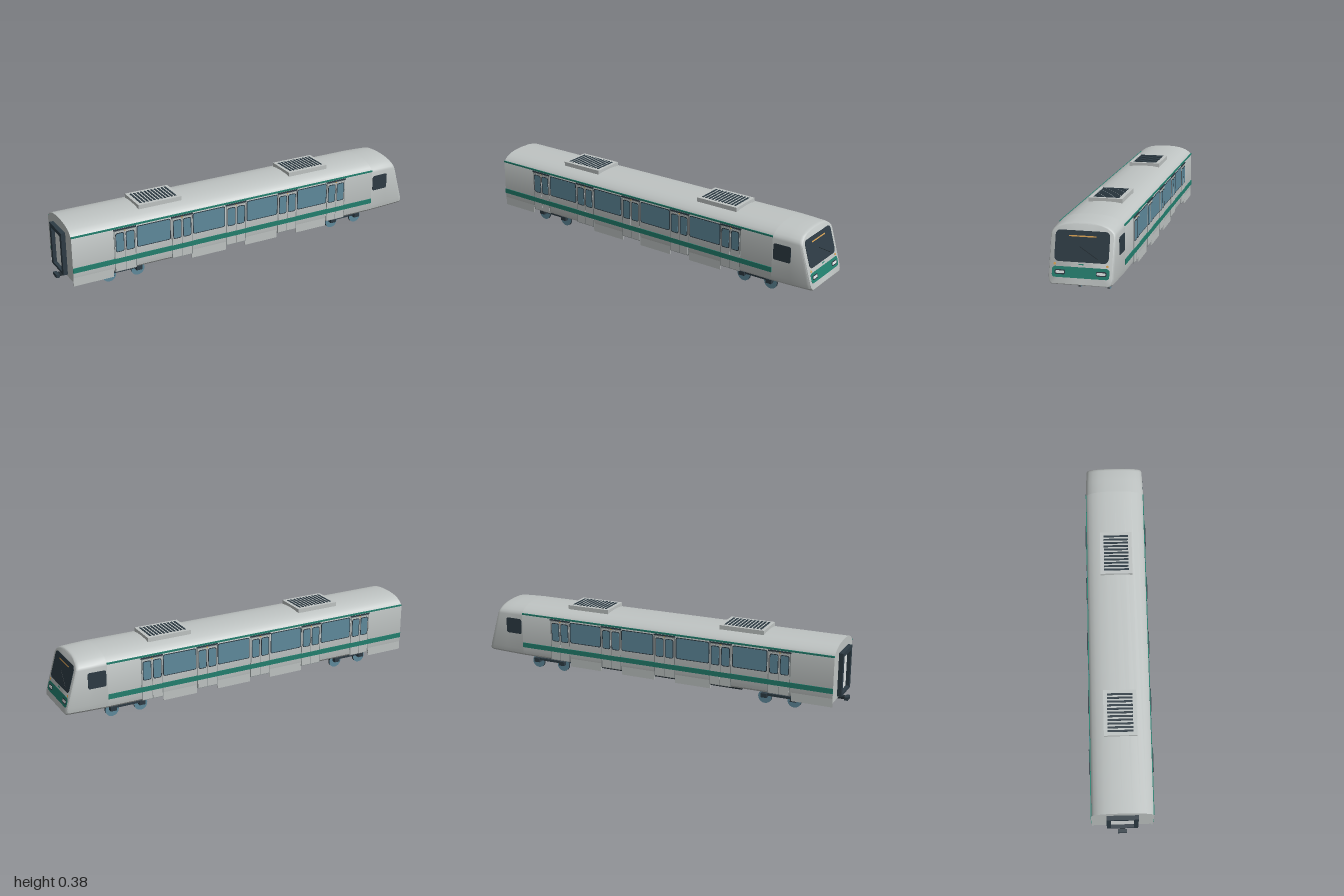
import * as THREE from 'three';
import { toCreasedNormals } from 'three/addons/utils/BufferGeometryUtils.js';

const mat = (name, color) => Object.assign(new THREE.MeshStandardMaterial({ color }), { name });
const silver = mat('silver', 0xbfc4c3);
const pale = mat('pale', 0xdde2e1);
const grey = mat('seal grey', 0x8a9292);
const green = mat('green', 0x23806f);
const dark = mat('dark slate', 0x2d3b44);
const black = mat('underframe black', 0x212b31);
const glass = mat('window blue', 0x5f8a9c);
const amber = mat('amber', 0xdba354);

// half outline of the car body as [z, y], floor centre to roof centre
const HALF = [[0, 0.084], [0.14, 0.084], [0.151, 0.095], [0.155, 0.12], [0.155, 0.312], [0.15, 0.325],
  [0.139, 0.336], [0.118, 0.349], [0.088, 0.359], [0.05, 0.365], [0, 0.367]];
const RING = [...HALF, ...HALF.slice(1, -1).reverse().map(([z, y]) => [-z, y])];

function add(parent, name, geometry, material, x = 0, y = 0, z = 0) {
  const mesh = new THREE.Mesh(geometry, material);
  mesh.name = name;
  mesh.position.set(x, y, z);
  parent.add(mesh);
  return mesh;
}

// box given by its limits
function box(parent, name, m, [x0, x1], [y0, y1], [z0, z1]) {
  return add(parent, name, new THREE.BoxGeometry(x1 - x0, y1 - y0, z1 - z0), m,
    (x0 + x1) / 2, (y0 + y1) / 2, (z0 + z1) / 2);
}

// thin rounded plate facing local +z
function plate(parent, name, m, x, y, z, w, h, r, depth = 0.002) {
  const s = new THREE.Shape();
  const a = w / 2, b = h / 2;
  s.absarc(a - r, b - r, r, 0, Math.PI / 2);
  s.absarc(r - a, b - r, r, Math.PI / 2, Math.PI);
  s.absarc(r - a, r - b, r, Math.PI, Math.PI * 1.5);
  s.absarc(a - r, r - b, r, Math.PI * 1.5, Math.PI * 2);
  s.closePath();
  return add(parent, name, new THREE.ExtrudeGeometry(s, { depth, bevelEnabled: false, curveSegments: 5 }), m, x, y, z);
}

function bodyShell() {
  const shape = new THREE.Shape(RING.map(([z, y]) => new THREE.Vector2(z, y)));
  const g = new THREE.ExtrudeGeometry(shape, { depth: 1.74, bevelEnabled: false });
  g.rotateY(Math.PI / 2).translate(-0.96, 0, 0);
  return toCreasedNormals(g, 0.6);
}

// slanted front plane of the cab
const frontX = y => 1 - (y - 0.09) * 0.29;

// cab lofted through shrinking sections that lean back to the front plane
function cabShell() {
  const sections = [[0, 1], [0.5, 0.985], [0.9, 0.968], [0.96, 0.958], [0.99, 0.942], [1, 0.92]];
  const n = RING.length, pos = [], index = [];
  for (const [t, s] of sections) {
    for (const [z, y] of RING) {
      const yy = 0.22 + (y - 0.22) * s;
      pos.push(0.78 + (frontX(yy) - 0.78) * t, yy, z * s);
    }
  }
  for (let k = 0; k < sections.length - 1; k++) {
    for (let i = 0; i < n; i++) {
      const a = k * n + i, b = k * n + (i + 1) % n;
      index.push(a, b + n, b, a, a + n, b + n);
    }
  }
  const centre = pos.length / 3, last = (sections.length - 1) * n;
  pos.push(frontX(0.22), 0.22, 0);
  for (let i = 0; i < n; i++) index.push(last + i, centre, last + (i + 1) % n);
  // the outline runs clockwise seen from the front, so flip every face outward
  const g = new THREE.BufferGeometry();
  g.setAttribute('position', new THREE.Float32BufferAttribute(pos, 3));
  g.setIndex(orient(index, pos));
  return toCreasedNormals(g, 0.6);
}

// turn each triangle away from the cab's middle
function orient(index, pos) {
  const p = i => new THREE.Vector3().fromArray(pos, i * 3);
  const middle = new THREE.Vector3(0.87, 0.22, 0);
  const out = [];
  for (let i = 0; i < index.length; i += 3) {
    const [a, b, c] = index.slice(i, i + 3);
    const normal = p(b).sub(p(a)).cross(p(c).sub(p(a)));
    out.push(...(normal.dot(p(a).sub(middle)) > 0 ? [a, b, c] : [a, c, b]));
  }
  return out;
}

function cabFront() {
  const f = new THREE.Group();
  f.name = 'cabFront';
  const tilt = Math.atan(0.29), v = y => (y - 0.09) / Math.cos(tilt);
  f.position.set(1, 0.09, 0);
  f.rotation.set(-tilt, Math.PI / 2, 0, 'YXZ');
  plate(f, 'windscreen', dark, 0, v(0.258), -0.001, 0.25, 0.141, 0.022, 0.003);
  plate(f, 'destinationStrip', amber, 0, v(0.302), 0.002, 0.126, 0.006, 0.001, 0.001);
  const wiper = box(f, 'wiper', black, [-0.05, 0.05], [-0.0015, 0.0015], [0.002, 0.004]);
  wiper.position.set(0.032, v(0.232), 0.003);
  wiper.rotation.z = -0.55;
  plate(f, 'frontBand', green, 0, v(0.1455), -0.001, 0.264, 0.049, 0.014, 0.002);
  plate(f, 'frontPlate', green, 0, v(0.181), -0.001, 0.024, 0.005, 0.001);
  for (const s of [-1, 1]) {
    plate(f, 'headlightSurround', dark, s * 0.095, v(0.145), 0, 0.048, 0.022, 0.008, 0.002);
    plate(f, 'headlight', pale, s * 0.095, v(0.145), 0.001, 0.04, 0.012, 0.005, 0.002);
    plate(f, 'markerLamp', amber, s * 0.121, v(0.179), -0.001, 0.011, 0.01, 0.004, 0.003);
  }
  return f;
}

// one flank; side is +1 for the front face of the model and -1 for its back
function flank(side) {
  const g = new THREE.Group();
  g.name = side > 0 ? 'nearSide' : 'farSide';
  const at = x => x * side;
  for (const x of [-0.685, -0.375, -0.067, 0.24, 0.545]) {
    plate(g, 'doorFrame', grey, at(x), 0.199, 0.1545, 0.116, 0.222, 0.002);
    box(g, 'doorHeader', dark, [at(x) - 0.06, at(x) + 0.06], [0.309, 0.315], [0.154, 0.16]);
    plate(g, 'doorLamp', amber, at(x), 0.304, 0.1565, 0.008, 0.005, 0.001);
    for (const s of [-1, 1]) {
      const lx = at(x) + s * 0.0275;
      plate(g, 'doorLeaf', silver, lx, 0.197, 0.1555, 0.052, 0.212, 0.002);
      plate(g, 'doorWindowSeal', dark, lx, 0.245, 0.1565, 0.046, 0.102, 0.01);
      plate(g, 'doorWindow', glass, lx, 0.245, 0.157, 0.039, 0.094, 0.008);
    }
  }
  for (const x of [-0.53, -0.222, 0.088, 0.393]) {
    plate(g, 'windowSeal', dark, at(x), 0.253, 0.1545, 0.184, 0.114, 0.01);
    plate(g, 'window', glass, at(x), 0.253, 0.155, 0.176, 0.106, 0.008);
  }
  plate(g, 'waistStripe', green, at(-0.09), 0.147, 0.1545, 1.74, 0.026, 0.001, 0.0039);
  plate(g, 'gutterStripe', green, at(-0.09), 0.321, 0.1515, 1.74, 0.009, 0.001, 0.0042);
  for (const [x0, x1] of [[-0.96, -0.75], [-0.32, -0.125], [-0.01, 0.18], [0.3, 0.485]]) {
    plate(g, 'skirt', silver, at((x0 + x1) / 2), 0.0885, 0.148, x1 - x0, 0.051, 0.001, 0.005);
  }
  const cabWindow = plate(g, 'cabSideWindow', dark, at(0.833), 0.248, 0.1525, 0.094, 0.084, 0.01, 0.003);
  cabWindow.rotation.y = side * 0.02;
  g.rotation.y = side > 0 ? 0 : Math.PI;
  return g;
}

function bogie(x, wheelbase) {
  const g = new THREE.Group();
  g.name = 'bogie';
  g.position.x = x;
  const h = wheelbase / 2;
  box(g, 'bogieFrame', dark, [-h - 0.02, h + 0.02], [0.034, 0.066], [-0.06, 0.06]);
  box(g, 'bolster', black, [-0.04, 0.04], [0.06, 0.09], [-0.075, 0.075]);
  for (const s of [-1, 1]) {
    box(g, 'sideBeam', dark, [-h, h], [0.046, 0.058], [s * 0.083 - 0.006, s * 0.083 + 0.006]);
    for (const w of [-h, h]) {
      const wheel = add(g, 'wheel', new THREE.CylinderGeometry(0.036, 0.036, 0.011, 24), [dark, glass, glass], w, 0.036, s * 0.07);
      wheel.rotation.x = Math.PI / 2;
      box(g, 'axleBox', dark, [w - 0.016, w + 0.016], [0.036, 0.058], [s * 0.087 - 0.011, s * 0.087 + 0.011]);
      box(g, 'spring', black, [w - 0.012, w + 0.012], [0.064, 0.085], [s * 0.06 - 0.015, s * 0.06 + 0.015]);
    }
  }
  return g;
}

function roofUnit(x) {
  const g = new THREE.Group();
  g.name = 'roofUnit';
  g.position.x = x;
  box(g, 'unitCase', silver, [-0.118, 0.118], [0.345, 0.382], [-0.083, 0.083]);
  for (let i = 0; i < 11; i++) {
    const sx = -0.095 + i * 0.019;
    box(g, 'grilleSlot', dark, [sx - 0.005, sx + 0.005], [0.381, 0.384], [-0.064, 0.064]);
  }
  return g;
}

// framed passage and coupler at the rear end
function rearEnd() {
  const g = new THREE.Group();
  g.name = 'rearEnd';
  for (const s of [-1, 1]) box(g, 'gangwayPost', dark, [-0.982, -0.958], [0.095, 0.318], [s * 0.068 - 0.011, s * 0.068 + 0.011]);
  box(g, 'gangwayTop', dark, [-0.982, -0.958], [0.296, 0.318], [-0.06, 0.06]);
  box(g, 'gangwaySill', dark, [-0.982, -0.958], [0.095, 0.108], [-0.06, 0.06]);
  box(g, 'endDoor', pale, [-0.964, -0.958], [0.105, 0.3], [-0.058, 0.058]);
  box(g, 'couplerBar', black, [-1, -0.88], [0.06, 0.073], [-0.012, 0.012]);
  box(g, 'couplerHead', dark, [-1, -0.982], [0.058, 0.075], [-0.022, 0.022]);
  box(g, 'couplerMount', black, [-0.92, -0.88], [0.062, 0.088], [-0.025, 0.025]);
  return g;
}

export function createModel() {
  const train = new THREE.Group();
  train.name = 'railCar';
  add(train, 'body', bodyShell(), silver);
  add(train, 'cab', cabShell(), silver);
  train.add(cabFront(), flank(1), flank(-1), rearEnd());
  train.add(roofUnit(-0.457), roofUnit(0.412));
  train.add(bogie(-0.665, 0.155), bogie(0.655, 0.155));
  box(train, 'underframeBox', black, [-0.465, 0.449], [0.053, 0.09], [-0.08, 0.08]);
  return train;
}
